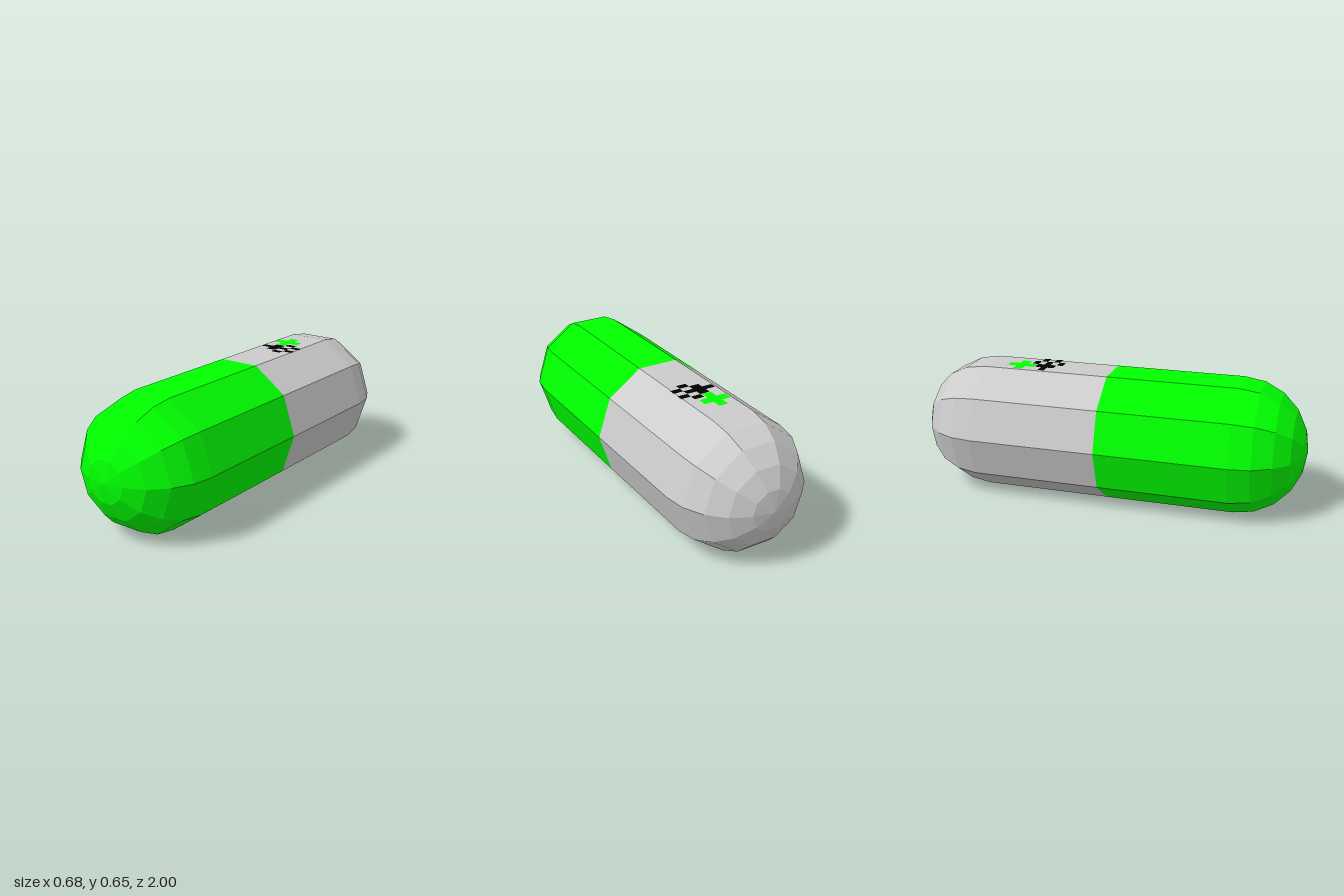
import * as THREE from 'three';

const RADIUS = 0.342;   // corner radius of the ten-sided body
const APOTHEM = RADIUS * Math.cos(Math.PI / 10);
const STRAIGHT = 1 - RADIUS;

const grey = new THREE.MeshStandardMaterial({ color: 0xcccccc, flatShading: true });
const green = new THREE.MeshStandardMaterial({ color: 0x00ff00, flatShading: true });
const black = new THREE.MeshStandardMaterial({ color: 0x000000, flatShading: true });

// Half capsule: straight ten-sided tube ending in a faceted dome
function half(name, material, direction) {
  const profile = [new THREE.Vector2(RADIUS, 0)];
  for (let i = 0; i <= 5; i++) {
    const a = (i * Math.PI) / 10;
    profile.push(new THREE.Vector2(i === 5 ? 0 : RADIUS * Math.cos(a), STRAIGHT + RADIUS * Math.sin(a)));
  }
  // Start angle puts corners at +x and -x, and flats at top and bottom
  const geometry = new THREE.LatheGeometry(profile, 10, Math.PI / 10);
  geometry.rotateX((direction * Math.PI) / 2);
  const mesh = new THREE.Mesh(geometry, material);
  mesh.name = name;
  mesh.position.y = APOTHEM;
  return mesh;
}

// Flat mark on the top face, made of rectangular cells: '#' is filled
function mark(name, material, rows, x, z, cellX, cellZ) {
  const group = new THREE.Group();
  group.name = name;
  const cell = new THREE.PlaneGeometry(cellX, cellZ).rotateX(-Math.PI / 2);
  rows.forEach((row, r) => [...row].forEach((c, i) => {
    if (c !== '#') return;
    const mesh = new THREE.Mesh(cell, material);
    mesh.name = name + 'Cell';
    mesh.position.set(x + (i + 0.5) * cellX, 2 * APOTHEM + 0.002, z + (r + 0.5) * cellZ);
    group.add(mesh);
  }));
  return group;
}

export function createModel() {
  const model = new THREE.Group();
  model.name = 'capsule';
  model.add(
    half('frontHalf', green, 1),
    half('backHalf', grey, -1),
    mark('crossMark', green, ['.#.', '###', '.#.'], -0.096, -0.552, 0.048, 0.048),
    mark('checkerMark', black, ['..#.', '.#.#', '###.', '.#.#', '..#.'], -0.096, -0.437, 0.052, 0.033),
  );
  return model;
}
